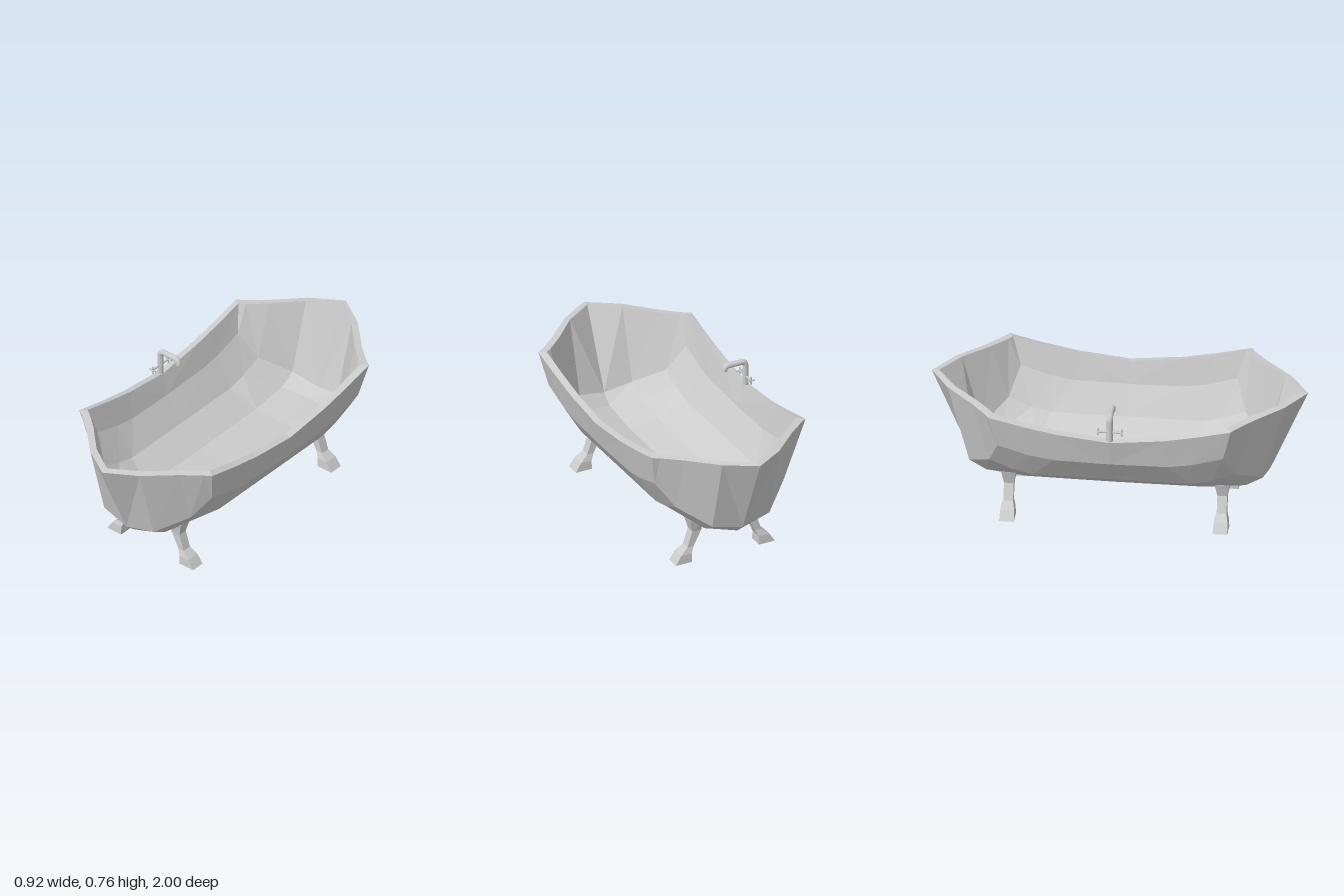
import * as THREE from 'three';

const flat = new THREE.MeshStandardMaterial({ color: 0xcccccc, flatShading: true });
const smooth = new THREE.MeshStandardMaterial({ color: 0xcccccc });

function mesh(name, geometry, material) {
  const m = new THREE.Mesh(geometry, material);
  m.name = name;
  return m;
}

// Collects quads into a geometry, dropping collapsed triangles
function quadBuilder() {
  const pos = [];
  const tri = (a, b, c) => {
    const area = b.clone().sub(a).cross(c.clone().sub(a)).length();
    if (area > 1e-7) for (const p of [a, b, c]) pos.push(p.x, p.y, p.z);
  };
  return {
    quad(a, b, c, d) { tri(a, b, c); tri(a, c, d); },
    build() {
      const g = new THREE.BufferGeometry();
      g.setAttribute('position', new THREE.Float32BufferAttribute(pos, 3));
      g.computeVertexNormals();
      return g;
    },
  };
}

// Lengthwise profiles of a quarter of the tub: x, then [z, y] from the middle to the end rim
const PROFILES = [
  [0, [[0, 0.173], [0.5, 0.18], [0.74, 0.205], [0.8, 0.256], [1, 0.722]]],
  [0.17, [[0, 0.21], [0.47, 0.213], [0.69, 0.238], [0.78, 0.29], [0.895, 0.72]]],
  [0.32, [[0, 0.31], [0.42, 0.31], [0.53, 0.335], [0.655, 0.385], [0.75, 0.716]]],
  [0.42, [[0, 0.455], [0.3, 0.46], [0.43, 0.48], [0.6, 0.53], [0.668, 0.714]]],
  [0.457, [[0, 0.605], [0.28, 0.635], [0.46, 0.67], [0.645, 0.714], [0.645, 0.714]]],
];

function tubGeometry() {
  const b = quadBuilder();
  for (const sx of [1, -1]) for (const sz of [1, -1]) {
    const outer = PROFILES.map(([x, pts]) =>
      pts.map(([z, y]) => new THREE.Vector3(sx * x, y, sz * z)));
    const inner = PROFILES.map(([x, pts], j) => pts.map(([z, y], k) =>
      new THREE.Vector3(sx * x * 0.92, y + (j === 4 || k === 4 ? 0.005 : 0.035), sz * z * 0.96)));
    const quad = (p, q, r, s) => (sx * sz > 0 ? b.quad(p, q, r, s) : b.quad(p, s, r, q));
    for (let j = 0; j < 4; j++) {
      for (let k = 0; k < 4; k++) {
        quad(outer[j][k], outer[j + 1][k], outer[j + 1][k + 1], outer[j][k + 1]);
        quad(inner[j][k], inner[j][k + 1], inner[j + 1][k + 1], inner[j + 1][k]);
      }
      // Rim along the end and along the side
      quad(outer[j][4], outer[j + 1][4], inner[j + 1][4], inner[j][4]);
      quad(outer[4][j], inner[4][j], inner[4][j + 1], outer[4][j + 1]);
    }
  }
  return b.build();
}

// Leg sections: inner x and y, outer x and y, half depth
const LEG = [
  [0.2, 0, 0.295, 0, 0.039],
  [0.2, 0.05, 0.262, 0.05, 0.037],
  [0.183, 0.085, 0.22, 0.085, 0.026],
  [0.137, 0.175, 0.19, 0.175, 0.026],
  [0.137, 0.215, 0.21, 0.25, 0.038],
];

function legGeometry() {
  const b = quadBuilder();
  const rings = LEG.map(([xi, yi, xo, yo, h]) => [[xi, yi, h], [xo, yo, h], [xo, yo, -h], [xi, yi, -h]]
    .map((p) => new THREE.Vector3(...p)));
  for (let i = 0; i < rings.length - 1; i++) {
    for (let c = 0; c < 4; c++) {
      const d = (c + 1) % 4;
      b.quad(rings[i][c], rings[i][d], rings[i + 1][d], rings[i + 1][c]);
    }
  }
  b.quad(...rings[0].slice().reverse());
  b.quad(...rings[rings.length - 1]);
  return b.build();
}

// Spout rising from the rim and bending over the basin
function spout() {
  const v = (x, y) => new THREE.Vector3(x, y, 0);
  const path = new THREE.CurvePath();
  path.add(new THREE.LineCurve3(v(-0.437, 0.6), v(-0.437, 0.722)));
  path.add(new THREE.QuadraticBezierCurve3(v(-0.437, 0.722), v(-0.437, 0.748), v(-0.411, 0.748)));
  path.add(new THREE.LineCurve3(v(-0.411, 0.748), v(-0.337, 0.748)));
  path.add(new THREE.QuadraticBezierCurve3(v(-0.337, 0.748), v(-0.312, 0.748), v(-0.312, 0.72)));
  const g = new THREE.Group();
  g.name = 'spout';
  g.add(mesh('spoutPipe', new THREE.TubeGeometry(path, 40, 0.016, 12), smooth));
  const mouth = mesh('spoutMouth', new THREE.CircleGeometry(0.016, 12), smooth);
  mouth.rotation.x = Math.PI / 2;
  mouth.position.set(-0.312, 0.72, 0);
  g.add(mouth);
  return g;
}

// Tap: a thin stem with a four-armed cross on its end
function tap(side) {
  const g = new THREE.Group();
  g.name = side > 0 ? 'frontTap' : 'backTap';
  const stem = mesh('tapStem', new THREE.CylinderGeometry(0.006, 0.006, 0.066, 8), smooth);
  stem.rotation.x = Math.PI / 2;
  stem.position.z = side * 0.033;
  g.add(stem);
  for (const angle of [0, Math.PI / 2]) {
    const arm = mesh('tapArm', new THREE.CylinderGeometry(0.0045, 0.0045, 0.044, 8), smooth);
    arm.rotation.z = angle;
    arm.position.z = side * 0.064;
    g.add(arm);
  }
  g.position.set(-0.437, 0.66, 0);
  return g;
}

export function createModel() {
  const model = new THREE.Group();
  model.name = 'clawfootBathtub';
  model.add(mesh('tub', tubGeometry(), flat));

  const legShape = legGeometry();
  for (const sx of [1, -1]) for (const sz of [1, -1]) {
    const leg = mesh(`${sz > 0 ? 'front' : 'back'}${sx > 0 ? 'Left' : 'Right'}Leg`, legShape, flat);
    leg.rotation.y = sx > 0 ? 0 : Math.PI;
    leg.position.z = sz * 0.567;
    model.add(leg);
  }

  const faucet = new THREE.Group();
  faucet.name = 'faucet';
  faucet.add(spout(), tap(1), tap(-1));
  model.add(faucet);
  return model;
}
